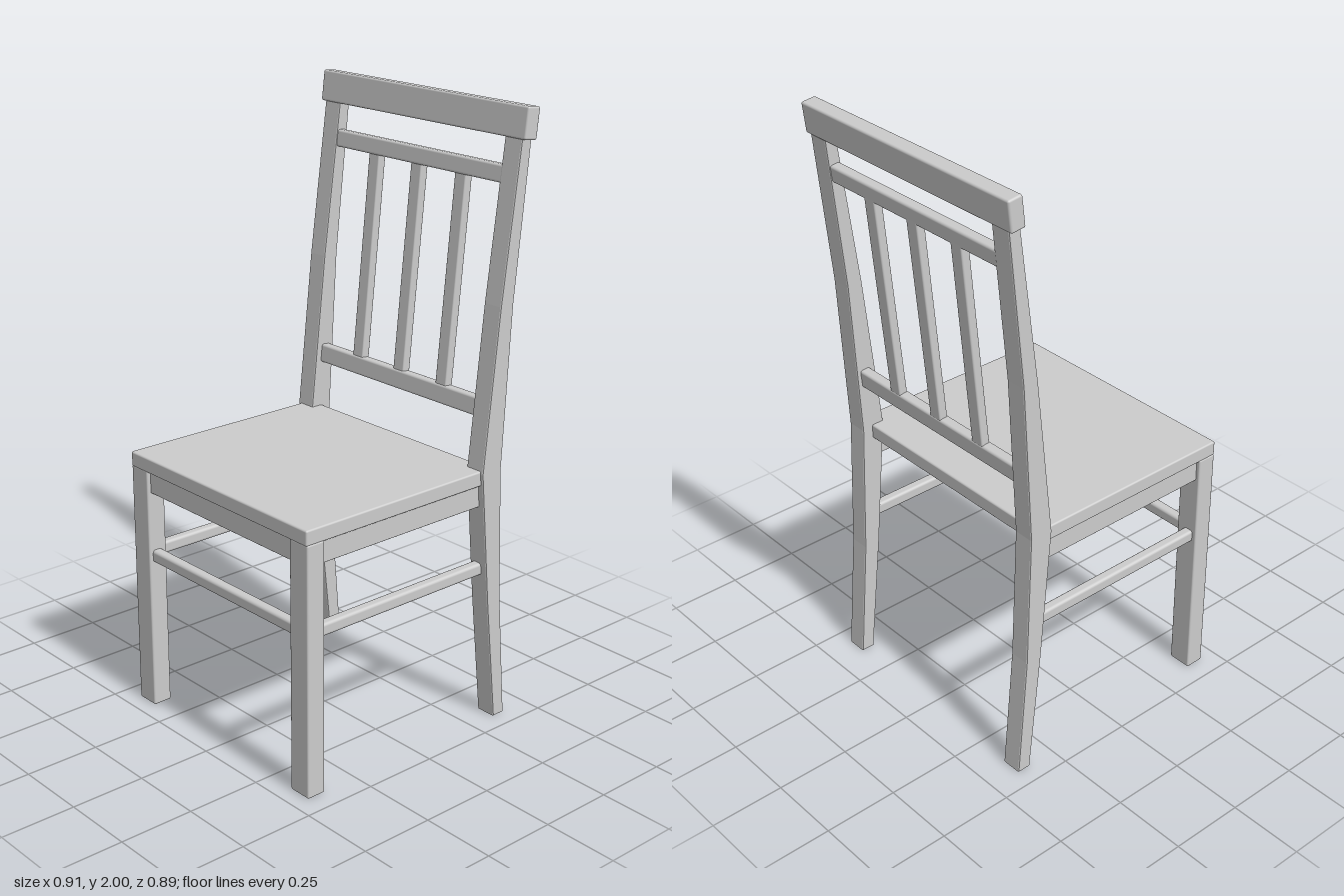
import * as THREE from 'three';
import { RoundedBoxGeometry } from 'three/addons/geometries/RoundedBoxGeometry.js';

const material = new THREE.MeshStandardMaterial({ color: 0xcccccc });

export function createModel() {
  const chair = new THREE.Group();
  chair.name = 'chair';

  // Softly rounded bar given by its centre and size, optionally tilted back
  const bar = (name, [x, y, z], [w, h, d], radius = 0.006, tilt = 0) => {
    const mesh = new THREE.Mesh(new RoundedBoxGeometry(w, h, d, 2, radius), material);
    mesh.name = name;
    mesh.position.set(x, y, z);
    mesh.rotation.x = tilt;
    chair.add(mesh);
  };

  // Seat and the front frame under it
  bar('seat', [0, 0.855, 0.0675], [0.86, 0.05, 0.755]);
  bar('frontApron', [0, 0.793, 0.41], [0.74, 0.076, 0.04], 0.004);
  bar('frontStretcher', [0, 0.535, 0.412], [0.74, 0.042, 0.036], 0.01);

  // Back post: side profile bent at the seat, front edge up then rear edge down
  const bevel = 0.005;
  const profile = new THREE.Shape([
    [-0.35, 0], [-0.305, 0.42], [-0.265, 0.87], [-0.322, 1.4], [-0.391, 1.92],
    [-0.431, 1.92], [-0.376, 1.4], [-0.346, 0.87], [-0.362, 0.42], [-0.396, 0],
  ].map(([z, y]) => new THREE.Vector2(z, y)));
  const postGeometry = new THREE.ExtrudeGeometry(profile, {
    depth: 0.072 - 2 * bevel, bevelEnabled: true, bevelThickness: bevel,
    bevelSize: bevel, bevelOffset: -bevel, bevelSegments: 2,
  });
  postGeometry.rotateY(-Math.PI / 2);
  postGeometry.translate(0.036 - bevel, 0, 0);

  for (const [side, s] of [['left', 1], ['right', -1]]) {
    const post = new THREE.Mesh(postGeometry, material);
    post.name = side + 'BackPost';
    post.position.x = s * 0.405;
    chair.add(post);
    bar(side + 'FrontLeg', [s * 0.391, 0.417, 0.41], [0.082, 0.834, 0.066]);
    bar(side + 'Apron', [s * 0.398, 0.793, 0.05], [0.04, 0.076, 0.7], 0.004);
    bar(side + 'Stretcher', [s * 0.398, 0.535, 0.045], [0.036, 0.042, 0.71], 0.01);
  }

  // Backrest: cap, two cross rails and three slats, all leaning back
  bar('topRail', [0, 1.949, -0.414], [0.914, 0.1, 0.052], 0.007, -0.12);
  bar('upperRail', [0, 1.788, -0.395], [0.76, 0.056, 0.036], 0.008, -0.12);
  bar('lowerRail', [0, 1.064, -0.325], [0.76, 0.062, 0.036], 0.008, -0.1);
  for (const x of [-0.195, 0, 0.195]) {
    bar('slat', [x, 1.426, -0.362], [0.048, 0.71, 0.03], 0.005, -0.098);
  }
  return chair;
}
